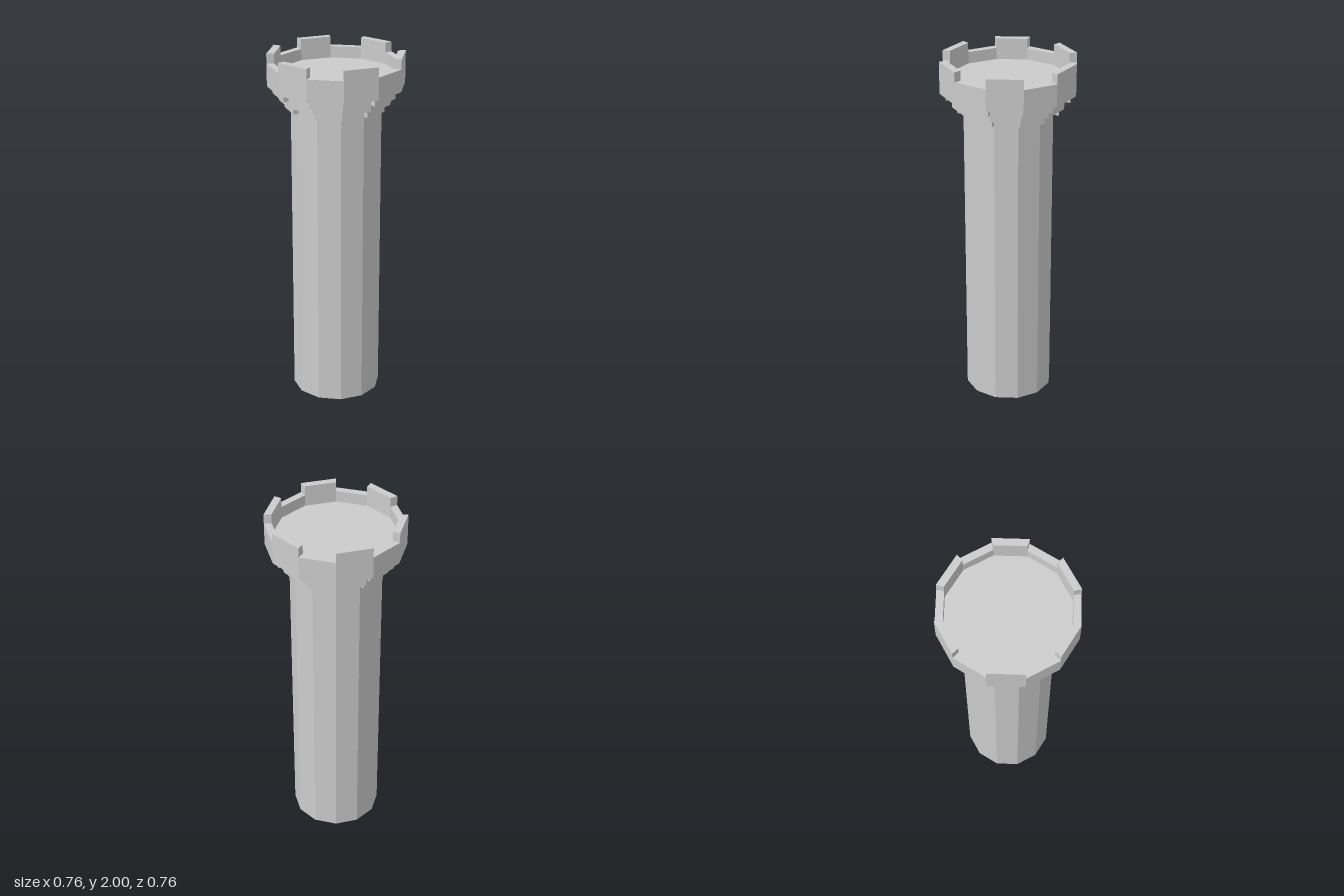
import * as THREE from 'three';

const SIDES = 12;
const STEP = (Math.PI * 2) / SIDES;

const solid = new THREE.MeshStandardMaterial({ color: 0xcccccc, flatShading: true });
const open = new THREE.MeshStandardMaterial({ color: 0xcccccc, flatShading: true, side: THREE.DoubleSide });

// Twelve-sided surface turned from [radius, height] pairs
function turned(name, profile, material = solid) {
  const points = profile.map(([r, y]) => new THREE.Vector2(r, y));
  const mesh = new THREE.Mesh(new THREE.LatheGeometry(points, SIDES), material);
  mesh.name = name;
  return mesh;
}

// Block covering one side of the twelve-sided ring
function ringBlock(side, inner, outer, bottom, top) {
  const a = side * STEP, b = a + STEP;
  const corner = (r, t) => new THREE.Vector2(r * Math.sin(t), -r * Math.cos(t));
  const shape = new THREE.Shape([corner(inner, a), corner(outer, a), corner(outer, b), corner(inner, b)]);
  const geometry = new THREE.ExtrudeGeometry(shape, { depth: top - bottom, bevelEnabled: false });
  geometry.rotateX(-Math.PI / 2);
  geometry.translate(0, bottom, 0);
  return geometry;
}

// Blocks on every second side
function blockRing(name, first, ...dims) {
  const group = new THREE.Group();
  group.name = name;
  for (let side = first; side < SIDES; side += 2) {
    const mesh = new THREE.Mesh(ringBlock(side, ...dims), solid);
    mesh.name = name + 'Block';
    group.add(mesh);
  }
  return group;
}

export function createModel() {
  const tower = new THREE.Group();
  tower.name = 'tower';

  // Hollow shaft, open at the foot
  tower.add(turned('shaft', [[0.25, 0], [0.25, 1.74]], open));

  // Stepped collar with corbels on alternate sides
  tower.add(turned('collar', [[0.25, 1.74], [0.313, 1.74], [0.313, 1.82]], open));
  tower.add(blockRing('lowerCorbels', 1, 0.25, 0.284, 1.7, 1.74));
  tower.add(blockRing('upperCorbels', 1, 0.313, 0.347, 1.78, 1.82));

  // Parapet wall and the platform inside it
  tower.add(turned('parapet', [
    [0.313, 1.82], [0.378, 1.82], [0.378, 1.945], [0.336, 1.945], [0.336, 1.88],
  ], open));
  const platform = new THREE.Mesh(new THREE.CircleGeometry(0.336, SIDES), open);
  platform.name = 'platform';
  platform.rotation.x = -Math.PI / 2;
  platform.position.y = 1.88;
  tower.add(platform);

  // Merlons stand over the sides without corbels
  tower.add(blockRing('merlons', 0, 0.336, 0.378, 1.945, 2));

  return tower;
}
